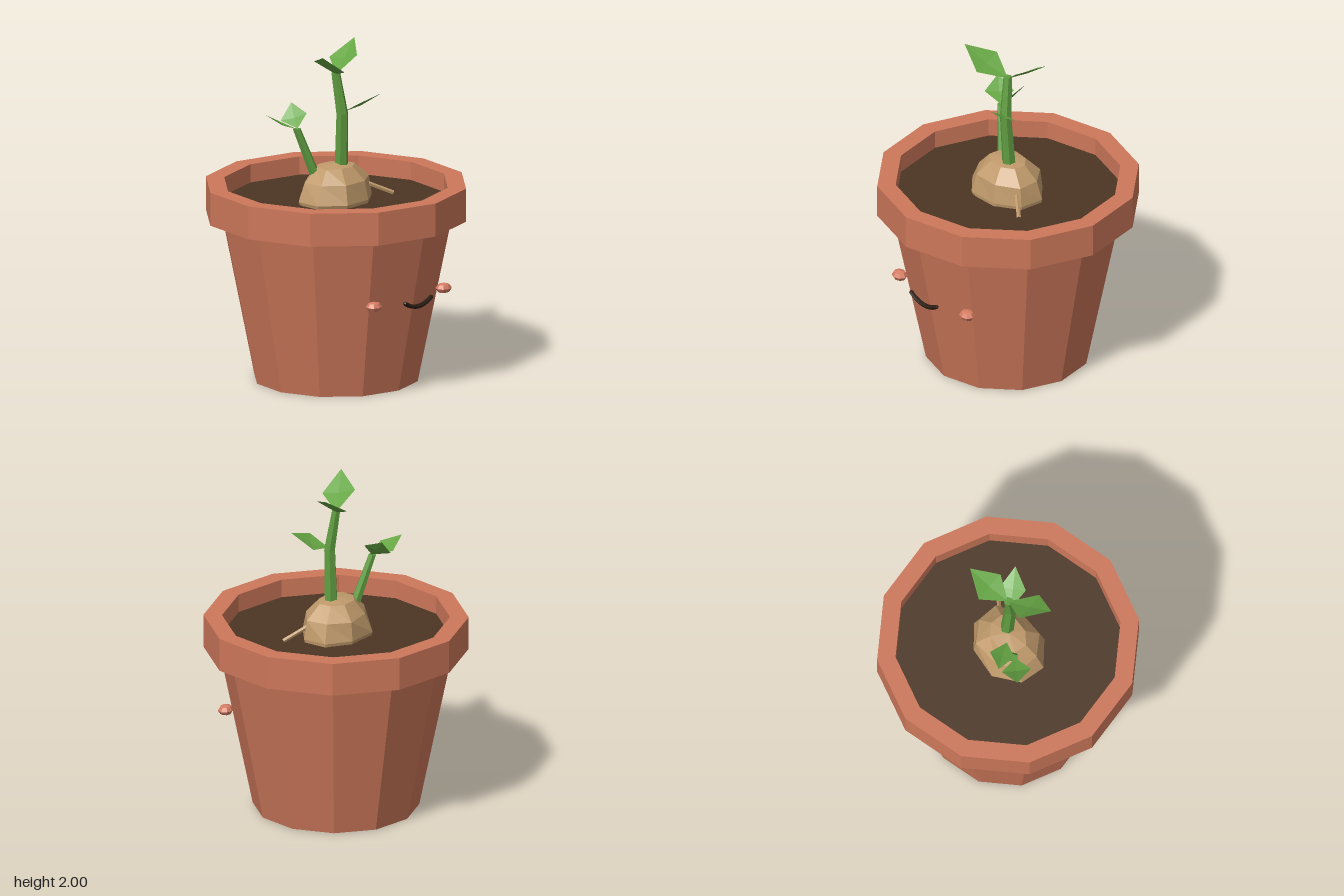
import * as THREE from 'three';

const mat = (name, color, extra = {}) => {
  const m = new THREE.MeshStandardMaterial({ color, flatShading: true, ...extra });
  m.name = name;
  return m;
};

export function createModel() {
  const model = new THREE.Group();
  model.name = 'pottedSprout';
  const terracotta = mat('terracotta', 0xcc775a);
  const soilBrown = mat('soilBrown', 0x4c3624);
  const bulbTan = mat('bulbTan', 0xc09a6b);
  const leafGreen = mat('leafGreen', 0x66a644, { side: THREE.DoubleSide });
  const stemGreen = mat('stemGreen', 0x5f9c40);
  const cheekPink = mat('cheekPink', 0xd67d63);
  const smileDark = mat('smileDark', 0x2b1e14);

  const add = (name, geometry, material) => {
    const mesh = new THREE.Mesh(geometry, material);
    mesh.name = name;
    model.add(mesh);
    return mesh;
  };
  const V = (p) => new THREE.Vector3(...p);
  const lathe = (pts) => new THREE.LatheGeometry(pts.map((p) => new THREE.Vector2(...p)), 12);

  // Twelve-sided pot with a heavy rim
  add('potBody', lathe([[0, 0], [0.49, 0], [0.69, 0.98]]), terracotta);
  add('potRim', lathe([[0.68, 0.98], [0.78, 0.98], [0.78, 1.18], [0.67, 1.18], [0.67, 1.06]]), terracotta);

  // Soil disc, corners aligned with the pot
  add('soil', new THREE.CircleGeometry(0.67, 12).rotateX(-Math.PI / 2).translate(0, 1.07, 0), soilBrown);

  // Lumpy bulb: a squashed sphere with small, repeatable dents
  const bulb = new THREE.SphereGeometry(1, 8, 6).rotateY(0.35);
  const bp = bulb.attributes.position;
  for (let i = 0; i < bp.count; i++) {
    const [x, y, z] = [bp.getX(i), bp.getY(i), bp.getZ(i)];
    const k = 1.03 + 0.05 * Math.sin(5 * x + 3 * z + 4 * y);
    bp.setXYZ(i, x * 0.245 * k, 1.09 + Math.min(y * 0.225, 0.212 + 0.01 * x), z * 0.195 * k);
  }
  add('bulb', bulb, bulbTan);

  // Stems: cylinders whose rings follow a few centre points [x, y, z, radius]
  const stem = (name, rings, material, sides = 6) => {
    const n = rings.length - 1;
    const g = new THREE.CylinderGeometry(1, 1, n, sides, n);
    const p = g.attributes.position;
    for (let i = 0; i < p.count; i++) {
      const [x, y, z, r] = rings[Math.round(p.getY(i) + n / 2)];
      p.setXYZ(i, x + p.getX(i) * r, y, z + p.getZ(i) * r);
    }
    return add(name, g, material);
  };
  stem('mainStem', [[0.03, 1.24, 0.015, 0.042], [0.018, 1.6, 0.033, 0.036], [-0.002, 1.845, 0, 0.027]], stemGreen);
  stem('sideStem', [[-0.12, 1.24, -0.06, 0.032], [-0.21, 1.525, -0.123, 0.024]], stemGreen);

  // Small root reaching out of the bulb
  const rootPath = new THREE.LineCurve3(V([0.14, 1.18, 0.055]), V([0.31, 1.09, 0.175]));
  add('root', new THREE.TubeGeometry(rootPath, 1, 0.013, 5), bulbTan);

  // Leaves: kites with a slightly sunken middle
  const leaf = (name, base, sideA, tip, sideB) => {
    const c = V(base).add(V(sideA)).add(V(tip)).add(V(sideB)).multiplyScalar(0.25);
    c.y -= 0.012;
    const g = new THREE.BufferGeometry();
    g.setAttribute('position', new THREE.Float32BufferAttribute([...base, ...sideA, ...tip, ...sideB, ...c.toArray()], 3));
    g.setIndex([0, 1, 4, 1, 2, 4, 2, 3, 4, 3, 0, 4]);
    g.computeVertexNormals();
    add(name, g, leafGreen);
  };
  leaf('topLeafLeft', [0, 1.835, 0], [0.13, 1.935, 0.05], [0.255, 2, 0.08 - 0.16], [0.1, 1.9, -0.14]);
  leaf('topLeafRight', [0, 1.835, 0], [-0.15, 1.935, -0.04], [-0.255, 2, 0.12], [-0.1, 1.89, 0.155]);
  leaf('middleLeaf', [0.02, 1.61, 0.04], [0.03, 1.68, 0.16], [0.175, 1.72, 0.2], [0.155, 1.635, 0.06]);
  leaf('sideLeafOuter', [-0.215, 1.525, -0.12], [-0.24, 1.56, -0.245], [-0.368, 1.62, -0.23], [-0.335, 1.565, -0.1]);
  leaf('sideLeafInner', [-0.205, 1.525, -0.12], [-0.13, 1.605, -0.115], [-0.125, 1.65, -0.24], [-0.215, 1.555, -0.245]);

  // Face: two cheeks and a curved smile
  for (const s of [1, -1]) {
    const cheek = add(s > 0 ? 'cheekLeft' : 'cheekRight', new THREE.SphereGeometry(1, 8, 4), cheekPink);
    cheek.scale.set(0.052, 0.032, 0.045);
    cheek.position.set(0.31 * s, 0.577, 0.57);
  }
  const smilePath = new THREE.QuadraticBezierCurve3(V([-0.115, 0.572, 0.643]), V([0, 0.5, 0.643]), V([0.115, 0.572, 0.643]));
  const smile = new THREE.Group();
  smile.name = 'smile';
  const smileTube = add('smileTube', new THREE.TubeGeometry(smilePath, 8, 0.014, 6), smileDark);
  smile.add(smileTube);
  for (const s of [1, -1]) {
    const cap = new THREE.Mesh(new THREE.SphereGeometry(0.013, 6, 4), smileDark);
    cap.name = 'smileEnd';
    cap.position.set(0.115 * s, 0.572, 0.643);
    smile.add(cap);
  }
  model.add(smile);

  return model;
}
